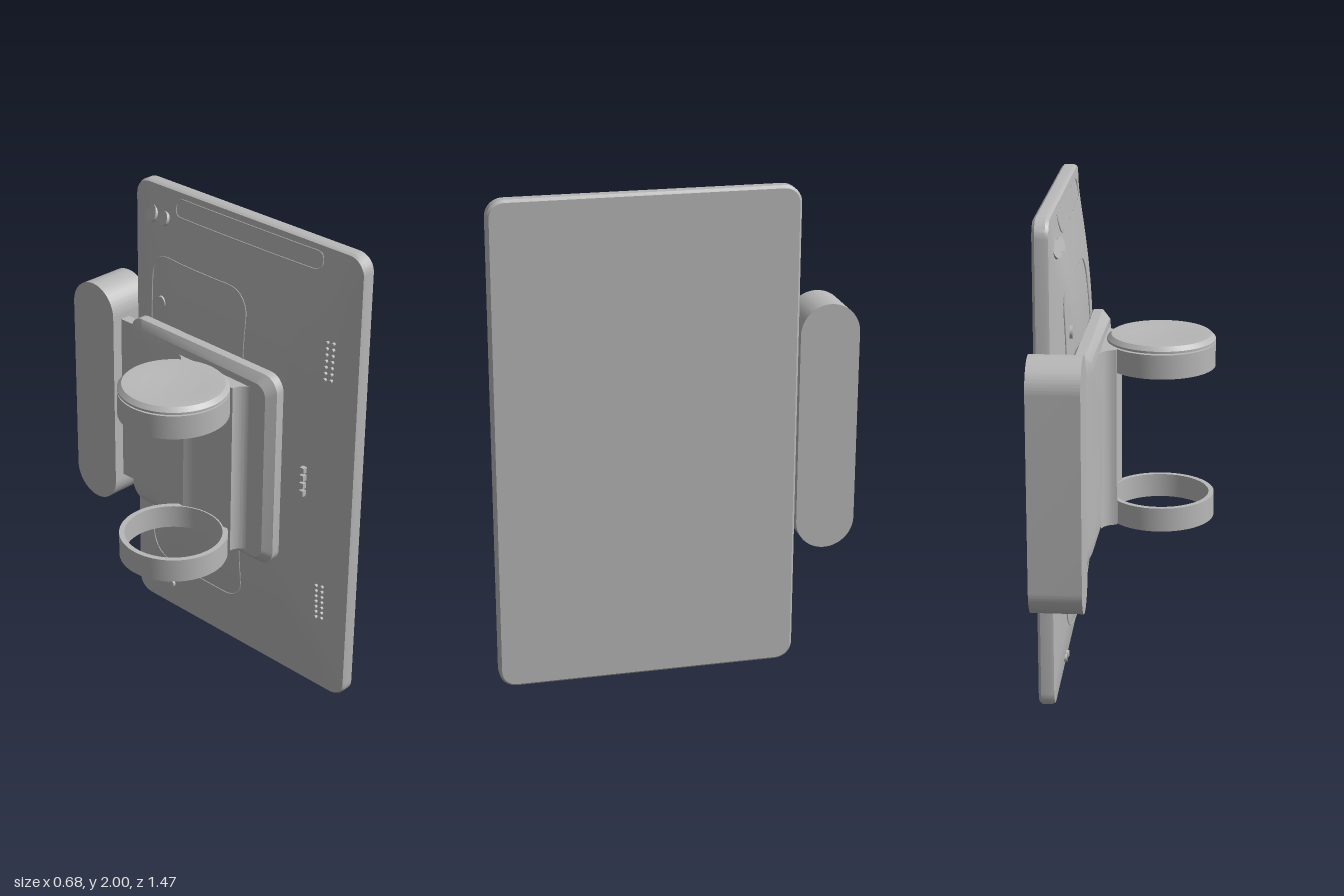
import * as THREE from 'three';
import { toCreasedNormals } from 'three/addons/utils/BufferGeometryUtils.js';

// Rounded rectangle in (z, y), running from +z towards +y
function outline(cz, cy, hz, hy, r, n = 8) {
  const pts = [];
  const corners = [[1, 1], [-1, 1], [-1, -1], [1, -1]];
  corners.forEach(([sz, sy], k) => {
    for (let i = 0; i <= n; i++) {
      const a = (k + i / n) * Math.PI / 2;
      pts.push([cz + sz * (hz - r) + r * Math.cos(a), cy + sy * (hy - r) + r * Math.sin(a)]);
    }
  });
  return pts;
}

// Skin a list of loops ordered from +x to -x, capping both ends
function loft(loops, crease = 0.45) {
  const n = loops[0].length, pos = [], idx = [];
  loops.forEach(l => l.forEach(p => pos.push(...p)));
  for (let i = 0; i < loops.length - 1; i++) for (let j = 0; j < n; j++) {
    const a = i * n + j, b = i * n + (j + 1) % n;
    idx.push(a, b, a + n, b, b + n, a + n);
  }
  [0, loops.length - 1].forEach((li, end) => {
    const c = new THREE.Vector3();
    loops[li].forEach(p => c.add(new THREE.Vector3(...p).divideScalar(n)));
    const ci = pos.length / 3;
    pos.push(c.x, c.y, c.z);
    for (let j = 0; j < n; j++) {
      const a = li * n + j, b = li * n + (j + 1) % n;
      if (end) idx.push(ci, a, b); else idx.push(ci, b, a);
    }
  });
  const g = new THREE.BufferGeometry();
  g.setAttribute('position', new THREE.Float32BufferAttribute(pos, 3));
  g.setIndex(idx);
  return toCreasedNormals(g, crease);
}

// Domed back of the tablet
const CZ = 0.122, CY = 1, HZ = 0.61, HY = 1;
function backX(z, y) {
  const u = Math.min(1, Math.abs(y - CY) / HY), v = Math.min(1, Math.abs(z - CZ) / HZ);
  return 0.17 + 0.1 * (1 - (1 - u ** 3.5) * (1 - v ** 3));
}

export function createModel() {
  const model = new THREE.Group();
  const grey = new THREE.MeshStandardMaterial({ color: 0xb8b8b8 });
  grey.name = 'grey';
  const add = (name, geo, x = 0, y = 0, z = 0) => {
    const m = new THREE.Mesh(geo, grey);
    m.name = name;
    m.position.set(x, y, z);
    model.add(m);
    return m;
  };

  // Tablet body: flat screen, bevelled rim, domed back
  const rim = outline(CZ, CY, HZ, HY, 0.07);
  const loops = [
    outline(CZ, CY, HZ - 0.01, HY - 0.01, 0.06).map(([z, y]) => [0.333, y, z]),
    rim.map(([z, y]) => [0.322, y, z]),
    rim.map(([z, y]) => [0.282, y, z]),
  ];
  for (let i = 0; i < 24; i++) {
    const s = (1 - i / 24) * 0.994;
    loops.push(rim.map(([z, y]) => {
      const pz = CZ + (z - CZ) * s, py = CY + (y - CY) * s;
      return [backX(pz, py), py, pz];
    }));
  }
  add('tablet', loft(loops));

  // Seams following the domed back
  const seam = (name, cz, cy, hz, hy, r) => {
    const pts = outline(cz, cy, hz, hy, r, 5).map(([z, y]) => new THREE.Vector3(backX(z, y), y, z));
    const dense = [];
    pts.forEach((p, i) => {
      const q = pts[(i + 1) % pts.length], k = Math.max(1, Math.ceil(p.distanceTo(q) / 0.08));
      for (let t = 0; t < k; t++) {
        const w = p.clone().lerp(q, t / k);
        w.x = backX(w.z, w.y);
        dense.push(w);
      }
    });
    add(name, new THREE.TubeGeometry(new THREE.CatmullRomCurve3(dense, true), 160, 0.003, 4, true));
  };
  seam('backPanelSeam', -0.07, 1, 0.28, 0.72, 0.1);
  seam('topFlapSeam', 0.15, 1.935, 0.39, 0.035, 0.03);

  // Camera lenses, panel screws and bracket screws
  const disc = (name, r, x, y, z) => {
    const g = new THREE.CylinderGeometry(r, r, 0.012, 24);
    g.rotateZ(Math.PI / 2);
    return add(name, g, x, y, z);
  };
  [[-0.38, 0.038], [-0.3, 0.03]].forEach(([z, r]) => {
    const m = disc('cameraLens', r, backX(z, 1.87), 1.87, z);
    m.rotation.z = -0.3;
    m.rotation.y = -0.3;
  });
  [1.52, 0.48].forEach(y => disc('panelScrew', 0.025, backX(-0.28, y), y, -0.28));
  [1.19, 0.81].forEach(y => disc('bracketScrew', 0.025, 0.104, y, 0));
  [-0.29, -0.25].forEach(z => disc('sensor', 0.016, backX(z, 0.14), 0.14, z));

  // Speaker grilles and side connector
  [1.55, 0.45].forEach(cy => {
    for (let r = 0; r < 2; r++) for (let i = 0; i < 7; i++) {
      const y = cy + (i - 3) * 0.026, z = 0.6 + r * 0.025;
      disc('speakerHole', 0.007, backX(z, y), y, z);
    }
  });
  for (let i = 0; i < 4; i++) add('connectorPin', new THREE.BoxGeometry(0.02, 0.025, 0.02), 0.197, 0.95 + i * 0.035, 0.53);

  // Bracket plate with chamfered edge, bending back towards -z
  const bend = z => 0.035 * Math.max(0, (-0.13 - z) / 0.26) ** 1.4;
  const plate = (inset, x, k) => outline(0.015, 1.01, 0.418 - inset, 0.432 - inset, 0.07 - inset * 0.5)
    .map(([z, y]) => [x + k * bend(z), y, z]);
  const face = [0, 1, 2, 3, 4, 5, 6, 7].map(i => plate(0.034, 0.106, 1).map(([, y, z]) => {
    const s = 1 - i / 8, pz = 0.015 + (z - 0.015) * s;
    return [0.106 + bend(pz), 1.01 + (y - 1.01) * s, pz];
  }));
  add('bracketPlate', loft([plate(0.01, 0.185, 0.5), plate(0, 0.175, 0.5), plate(0, 0.137, 0.4), ...face]));

  // Holder rings and column, drawn in x-z and extruded down
  const RX = -0.123, RZ = 0.122, R = 0.222;
  const extrudeDown = (shape, h) => {
    const g = new THREE.ExtrudeGeometry(shape, { depth: h, bevelEnabled: false, curveSegments: 48 });
    g.rotateX(Math.PI / 2);
    return toCreasedNormals(g, 0.5);
  };
  const ring = new THREE.Shape().absarc(RX, RZ, R, 0, Math.PI * 2, false);
  ring.holes.push(new THREE.Path().absarc(RX, RZ, 0.2, 0, Math.PI * 2, true));
  add('lowerRing', extrudeDown(ring, 0.1), 0, 0.73, 0);
  add('upperRing', extrudeDown(ring, 0.1), 0, 1.38, 0);

  const column = new THREE.Shape();
  const half = Math.asin(0.115 / 0.206);
  column.moveTo(0.112, RZ - 0.21);
  column.quadraticCurveTo(0.1, RZ - 0.16, 0.05, RZ - 0.155);
  column.lineTo(RX + 0.206 * Math.cos(half), RZ - 0.115);
  column.absarc(RX, RZ, 0.206, -half, half, false);
  column.lineTo(0.05, RZ + 0.155);
  column.quadraticCurveTo(0.1, RZ + 0.16, 0.112, RZ + 0.21);
  add('column', extrudeDown(column, 0.75), 0, 1.38, 0);

  // Charging puck with a slightly dished top
  const profile = [[0, 1.345], [0.2, 1.345], [0.2, 1.384], [0.222, 1.386], [0.222, 1.395],
    [0.205, 1.412], [0.173, 1.412], [0.12, 1.407], [0.06, 1.404], [0, 1.403]];
  const puck = new THREE.LatheGeometry(profile.map(p => new THREE.Vector2(...p)), 64);
  add('puck', toCreasedNormals(puck, 0.3), RX, 0, RZ);

  // Side pod with rounded ends and its neck
  const pod = new THREE.Shape();
  const pr = 0.1215, pz = 0.6135;
  pod.absarc(pz, 1.52 - pr, pr, 0, Math.PI, false);
  pod.absarc(pz, 0.49 + pr, pr, Math.PI, Math.PI * 2, false);
  const podGeo = new THREE.ExtrudeGeometry(pod, { depth: 0.207, bevelEnabled: false, curveSegments: 32 });
  podGeo.rotateY(Math.PI / 2);
  add('sidePod', toCreasedNormals(podGeo, 0.5), 0.131, 0, 0);
  add('podNeck', new THREE.BoxGeometry(0.046, 0.75, 0.085), 0.2, 1.005, -0.46);

  return model;
}
